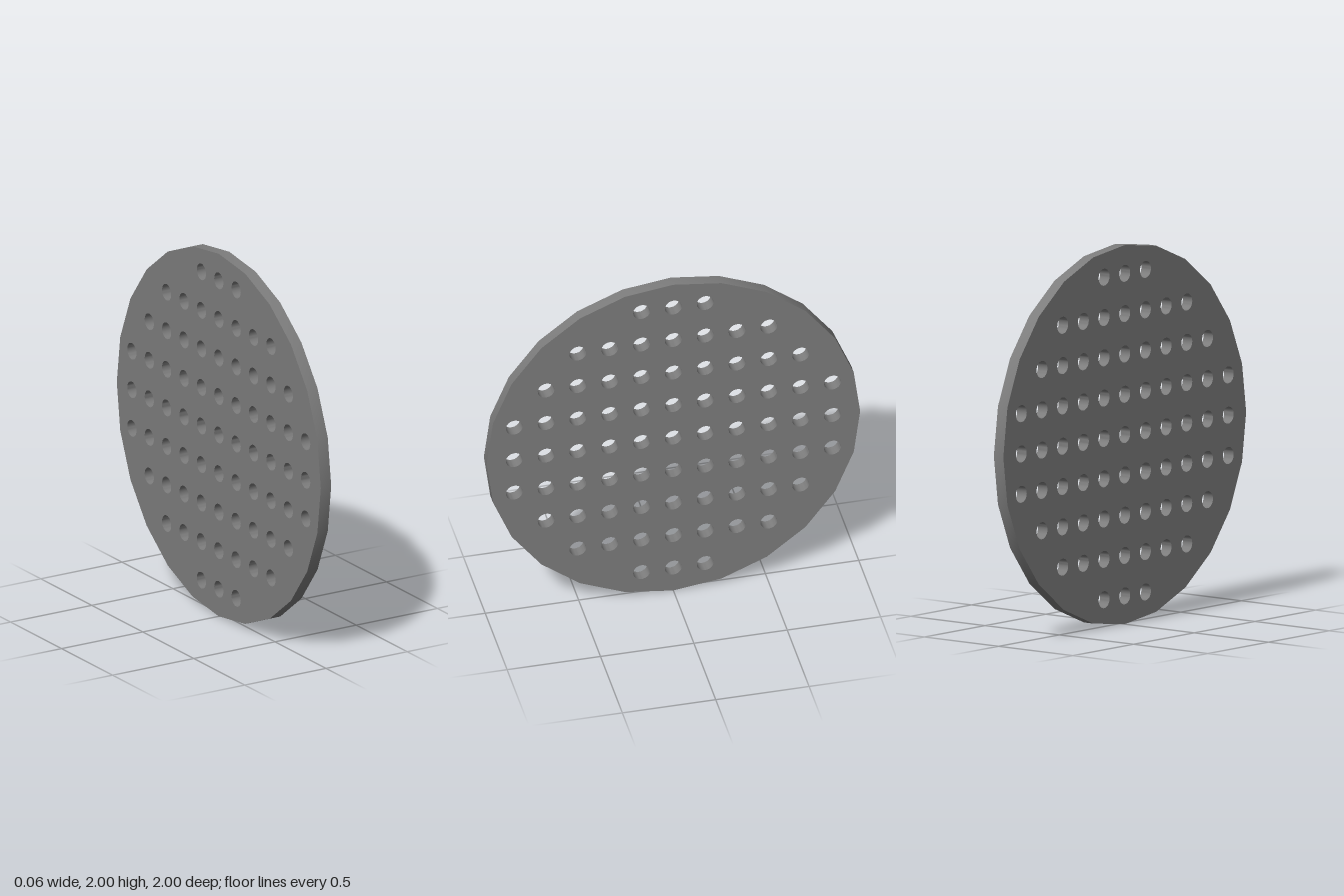
import * as THREE from 'three';
import { toCreasedNormals } from 'three/addons/utils/BufferGeometryUtils.js';

const SIDES = 24;
const THICKNESS = 0.064;
const HOLE_RADIUS = 0.045;
const STEP_Z = 0.1704;
const STEP_Y = 0.2127;
// holes on either side of the middle one, per row from the bottom up
const HALF_COUNTS = [1, 3, 4, 5, 5, 5, 4, 3, 1];

export function createModel() {
  const group = new THREE.Group();
  group.name = 'perforatedDisc';

  // many-sided outline
  const outline = [];
  for (let i = 0; i < SIDES; i++) {
    const a = (i / SIDES) * Math.PI * 2;
    outline.push(new THREE.Vector2(Math.cos(a), Math.sin(a)));
  }
  const shape = new THREE.Shape(outline);

  // grid of round holes
  HALF_COUNTS.forEach((half, row) => {
    for (let col = -half; col <= half; col++) {
      const hole = new THREE.Path();
      hole.absarc(col * STEP_Z, (row - 4) * STEP_Y, HOLE_RADIUS, 0, Math.PI * 2, true);
      shape.holes.push(hole);
    }
  });

  // plate standing on edge, faces toward +x and -x; rim and hole walls shaded smooth
  const extruded = new THREE.ExtrudeGeometry(shape, {
    depth: THICKNESS, bevelEnabled: false, curveSegments: 16,
  });
  extruded.translate(0, 0, -THICKNESS / 2);
  extruded.rotateY(Math.PI / 2);
  const geometry = toCreasedNormals(extruded, Math.PI / 6);

  const plate = new THREE.Mesh(geometry, new THREE.MeshStandardMaterial({ color: 0x7d7d7d }));
  plate.name = 'plate';
  plate.position.y = 1;
  group.add(plate);
  return group;
}
